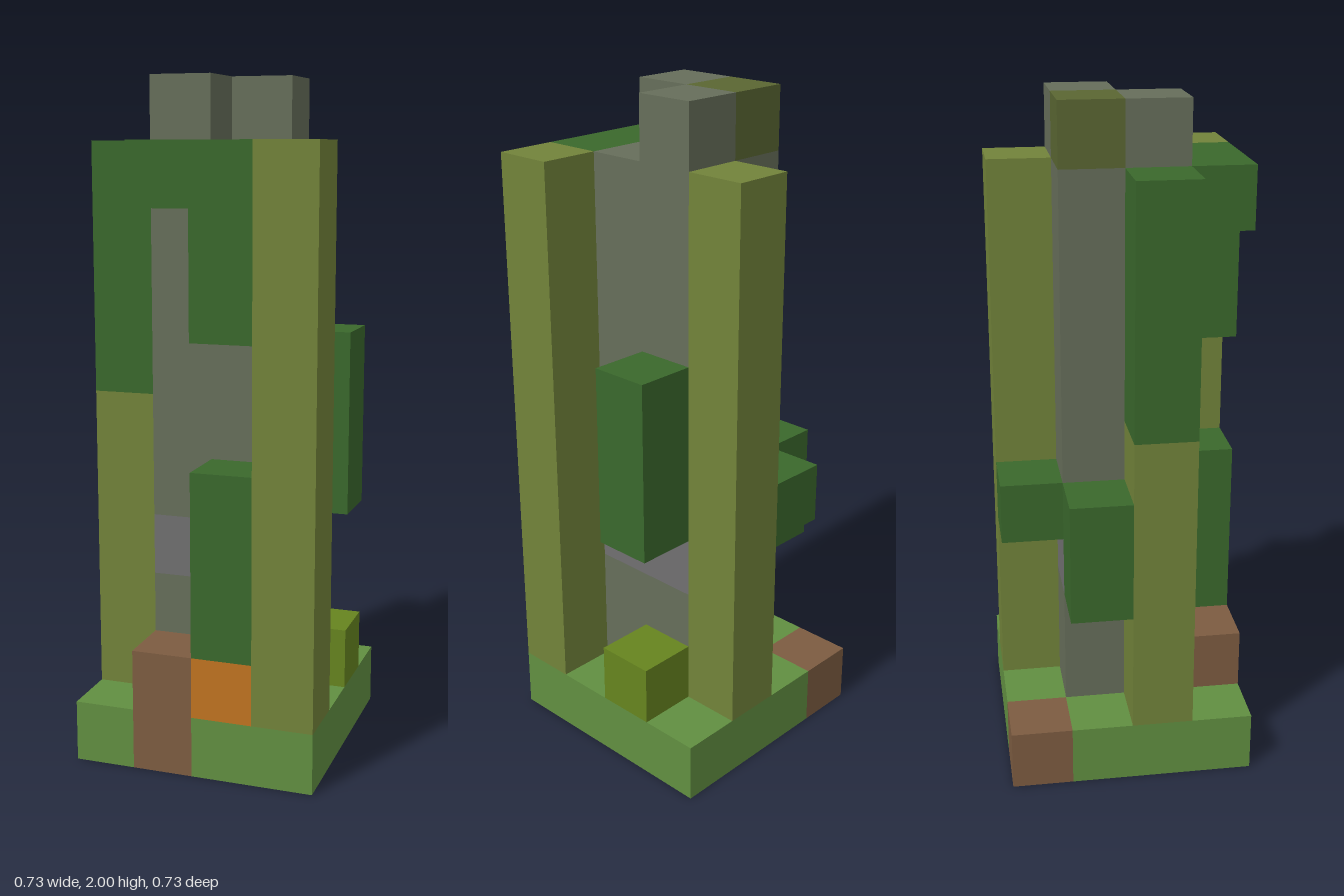
import * as THREE from 'three';

const U = 2 / 11; // edge of one block; the model is 4 x 11 x 4 blocks

export function createModel() {
  const root = new THREE.Group();
  root.name = 'overgrownTower';

  const mat = (name, color) => {
    const m = new THREE.MeshStandardMaterial({ color });
    m.name = name;
    return m;
  };
  const grass = mat('grass', 0x618f41);
  const earth = mat('earth', 0x7d5c41);
  const leaf = mat('leaf', 0x3a682c);
  const vine = mat('vine', 0x72833a);
  const mossyStone = mat('mossyStone', 0x666e5a);
  const stone = mat('stone', 0x706f70);
  const moss = mat('moss', 0x5a6632);
  const flower = mat('flower', 0xc07320);
  const shrub = mat('shrub', 0x66841f);

  // Block-grid box: lowest cell (left, bottom, back), then its size in cells
  const block = (parent, name, material, [x, y, z], [w, h, d]) => {
    const mesh = new THREE.Mesh(new THREE.BoxGeometry(w * U, h * U, d * U), material);
    mesh.position.set((x + w / 2 - 2) * U, (y + h / 2) * U, (z + d / 2 - 2) * U);
    mesh.name = name;
    parent.add(mesh);
  };
  const group = (name) => {
    const g = new THREE.Group();
    g.name = name;
    root.add(g);
    return g;
  };

  // Ground slab with two earth patches
  const ground = group('ground');
  block(ground, 'grassBack', grass, [1, 0, 0], [3, 1, 1]);
  block(ground, 'grassMiddle', grass, [0, 0, 1], [4, 1, 2]);
  block(ground, 'grassFrontRight', grass, [0, 0, 3], [1, 1, 1]);
  block(ground, 'grassFrontLeft', grass, [2, 0, 3], [2, 1, 1]);
  block(ground, 'earthCorner', earth, [0, 0, 0], [1, 1, 1]);
  block(ground, 'earthPost', earth, [1, 0, 3], [1, 2, 1]);

  // Stone tower with a bare band and a broken top
  const tower = group('tower');
  block(tower, 'lowerStone', mossyStone, [1, 1, 1], [2, 2, 2]);
  block(tower, 'bareBand', stone, [1, 3, 1], [2, 1, 2]);
  block(tower, 'upperStone', mossyStone, [1, 4, 1], [2, 6, 2]);
  block(tower, 'topStoneBack', mossyStone, [2, 10, 1], [1, 1, 1]);
  block(tower, 'topStoneFront', mossyStone, [1, 10, 2], [1, 1, 1]);
  block(tower, 'mossCap', moss, [1, 10, 1], [1, 1, 1]);

  // Tall climbing vines
  const vines = group('vines');
  block(vines, 'frontVine', vine, [3, 1, 3], [1, 9, 1]);
  block(vines, 'backVine', vine, [2, 1, 0], [1, 9, 1]);
  block(vines, 'sideVine', vine, [0, 1, 2], [1, 5, 1]);
  block(vines, 'sideVineLeaves', leaf, [0, 6, 2], [1, 4, 1]);

  // Leaf clumps on the walls
  const leaves = group('leaves');
  block(leaves, 'frontHangingLeaves', leaf, [2, 7, 3], [1, 3, 1]);
  block(leaves, 'frontTopLeaves', leaf, [1, 9, 3], [1, 1, 1]);
  block(leaves, 'frontLowLeaves', leaf, [2, 2, 3], [1, 3, 1]);
  block(leaves, 'leftLeaves', leaf, [3, 4, 1], [1, 3, 1]);
  block(leaves, 'rightLeaves', leaf, [0, 3, 1], [1, 2, 1]);
  block(leaves, 'backLeaves', leaf, [1, 4, 0], [1, 1, 1]);

  // Small plants at the foot
  const plants = group('plants');
  block(plants, 'flower', flower, [2, 1, 3], [1, 1, 1]);
  block(plants, 'shrub', shrub, [3, 1, 1], [1, 1, 1]);

  return root;
}
